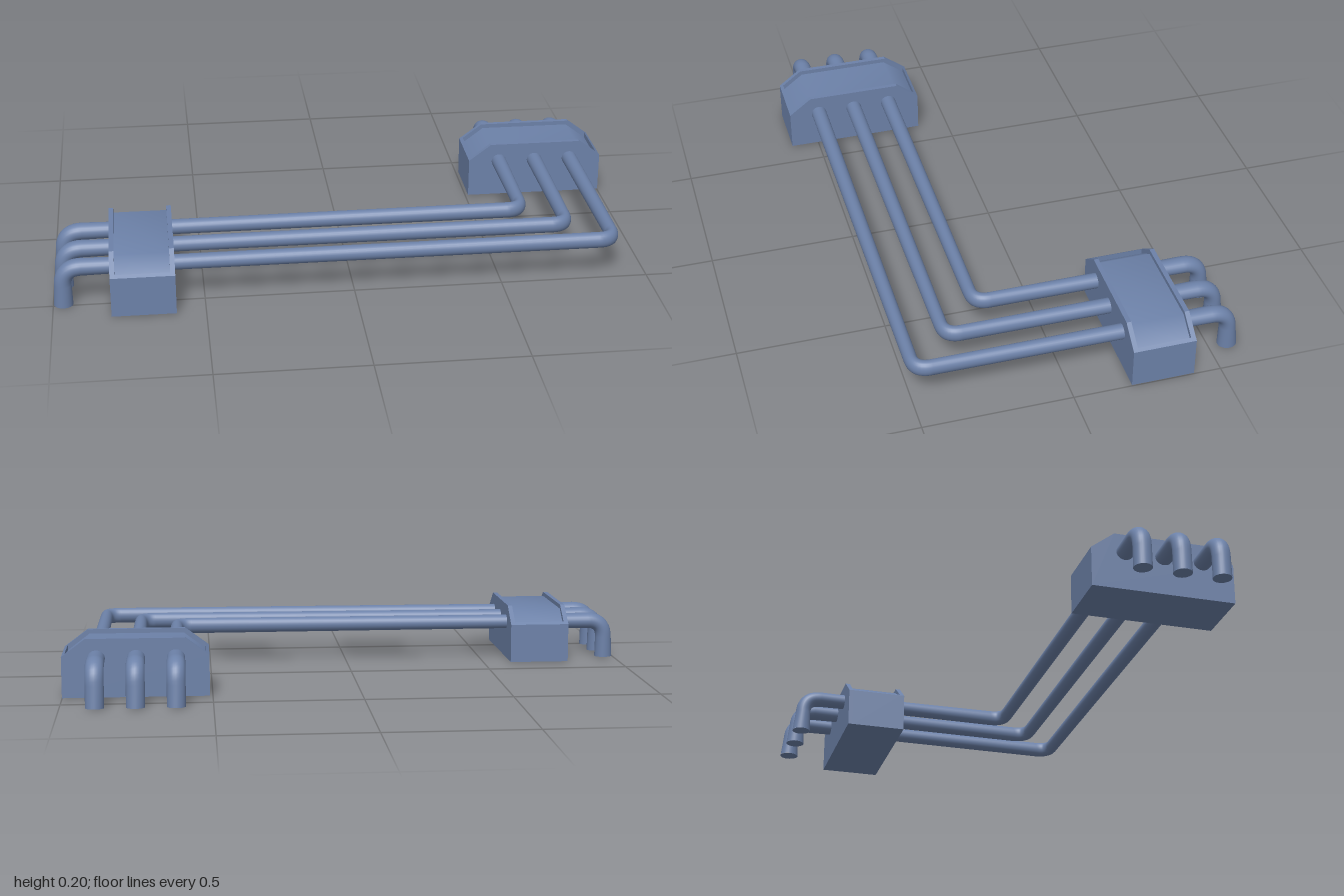
import * as THREE from 'three';

const material = new THREE.MeshStandardMaterial({ color: 0x6c81a8 });
const V = (x, y, z) => new THREE.Vector3(x, y, z);

// Slab with a given outline, extruded along z between z0 and z1
function slab(name, outline, z0, z1) {
  const shape = new THREE.Shape(outline.map(([x, y]) => new THREE.Vector2(x, y)));
  const geometry = new THREE.ExtrudeGeometry(shape, { depth: z1 - z0, bevelEnabled: false });
  geometry.translate(0, 0, z0);
  const mesh = new THREE.Mesh(geometry, material);
  mesh.name = name;
  return mesh;
}

// Closed outline from its right half, mirrored in x
const mirrored = half => [...half, ...half.map(([x, y]) => [-x, y]).reverse()];

// Softly shaded sheet covering the recess, bent along the chamfers
function createPanel(halfWidth) {
  const line = [[-0.234, 0.129], [-0.16, 0.185], [0.16, 0.185], [0.234, 0.129]];
  const geometry = new THREE.PlaneGeometry(1, 2 * halfWidth, 3, 1).rotateX(-Math.PI / 2);
  const position = geometry.attributes.position;
  for (let i = 0; i < position.count; i++) {
    const [x, y] = line[i % 4];
    position.setXYZ(i, x, y, position.getZ(i));
  }
  geometry.computeVertexNormals();
  const mesh = new THREE.Mesh(geometry, material);
  mesh.name = 'clampPanel';
  return mesh;
}

// Clamp block with chamfered ends and a recessed panel on top
function createClamp(name) {
  const clamp = new THREE.Group();
  clamp.name = name;
  const base = 0.002, half = 0.106, rim = 0.016;
  const cheek = mirrored([[0.245, base], [0.245, 0.14], [0.165, 0.2]]);
  const core = mirrored([[0.245, base], [0.245, 0.14], [0.234, 0.148], [0.234, 0.127], [0.16, 0.183]]);
  clamp.add(
    slab('clampCore', core, rim - half, half - rim),
    slab('clampCheekA', cheek, -half, rim - half),
    slab('clampCheekB', cheek, half - rim, half),
    createPanel(half - rim)
  );
  return clamp;
}

// Pipe through corners with rounded bends.
// Each corner: position p, sideways radius a, in-plane radius b, bend size f
function createPipe(corners) {
  const rings = [];
  corners.forEach((c, i) => {
    if (!c.f) return rings.push({ p: c.p, a: c.a, b: c.b, t: i ? c.p.clone().sub(corners[i - 1].p) : corners[1].p.clone().sub(c.p) });
    const toward = q => c.p.clone().add(q.clone().sub(c.p).setLength(c.f));
    const bend = new THREE.QuadraticBezierCurve3(toward(corners[i - 1].p), c.p, toward(corners[i + 1].p));
    for (let k = 0; k <= 10; k++)
      rings.push({ p: bend.getPoint(k / 10), a: c.a, b: c.b, t: bend.getTangent(k / 10) });
  });

  const sides = 24, positions = [], index = [];
  rings.forEach(({ p, a, b, t }, i) => {
    t.normalize();
    // Sideways axis stays horizontal, also on the upright legs
    const heading = i < rings.length / 2 ? V(1, 0, 0) : V(0, 0, -1);
    const flat = V(t.x, 0, t.z).addScaledVector(heading, 1e-4);
    // The upright legs lean slightly outwards, so keep facing the heading there
    if (flat.dot(heading) < 0) flat.negate();
    const side = flat.cross(V(0, 1, 0)).normalize();
    const up = side.clone().cross(t).normalize();
    for (let j = 0; j < sides; j++) {
      const angle = (j / sides) * Math.PI * 2;
      const v = p.clone().addScaledVector(side, a * Math.cos(angle)).addScaledVector(up, b * Math.sin(angle));
      positions.push(v.x, v.y, v.z);
      if (i) {
        const n = (j + 1) % sides, lo = (i - 1) * sides, hi = i * sides;
        index.push(lo + j, hi + j, lo + n, lo + n, hi + j, hi + n);
      }
    }
  });
  const geometry = new THREE.BufferGeometry();
  geometry.setAttribute('position', new THREE.Float32BufferAttribute(positions, 3));
  geometry.setIndex(index);
  geometry.computeVertexNormals();
  const mesh = new THREE.Mesh(geometry, material);
  mesh.name = 'pipe';

  // Flat discs closing both feet
  for (const { p, a, b } of [corners[0], corners[corners.length - 1]]) {
    const cap = new THREE.Mesh(new THREE.CircleGeometry(1, sides), material);
    const alongX = p.x < 0;
    cap.name = 'pipeEnd';
    cap.scale.set(alongX ? b : a, alongX ? a : b, 1);
    cap.rotation.x = Math.PI / 2;
    cap.position.copy(p);
    mesh.add(cap);
  }
  return mesh;
}

export function createModel() {
  const model = new THREE.Group();
  model.name = 'pipeAssembly';

  // Three parallel L-shaped pipes with feet turned down at both ends
  const y = 0.135;
  for (let i = 0; i < 3; i++) {
    const x = 0.621 + i * 0.132, z = 0.225 + i * 0.133;
    model.add(createPipe([
      { p: V(-0.966, 0, z), a: 0.031, b: 0.032 },
      { p: V(-0.964, y, z), a: 0.031, b: 0.029, f: 0.062 },
      { p: V(-0.7, y, z), a: 0.028, b: 0.025 },
      { p: V(x, y + 0.001, z), a: 0.022, b: 0.028, f: 0.055 },
      { p: V(x, y, -0.3), a: 0.028, b: 0.025 },
      { p: V(x, y, -0.56), a: 0.031, b: 0.027, f: 0.062 },
      { p: V(x, 0, -0.566), a: 0.031, b: 0.033 }
    ]));
  }

  // One clamp across each end of the run
  const leftClamp = createClamp('clampAcrossLongRun');
  leftClamp.rotation.y = Math.PI / 2;
  leftClamp.position.set(-0.703, 0, 0.355);
  const backClamp = createClamp('clampAcrossShortRun');
  backClamp.position.set(0.755, 0, -0.302);
  model.add(leftClamp, backClamp);
  return model;
}
